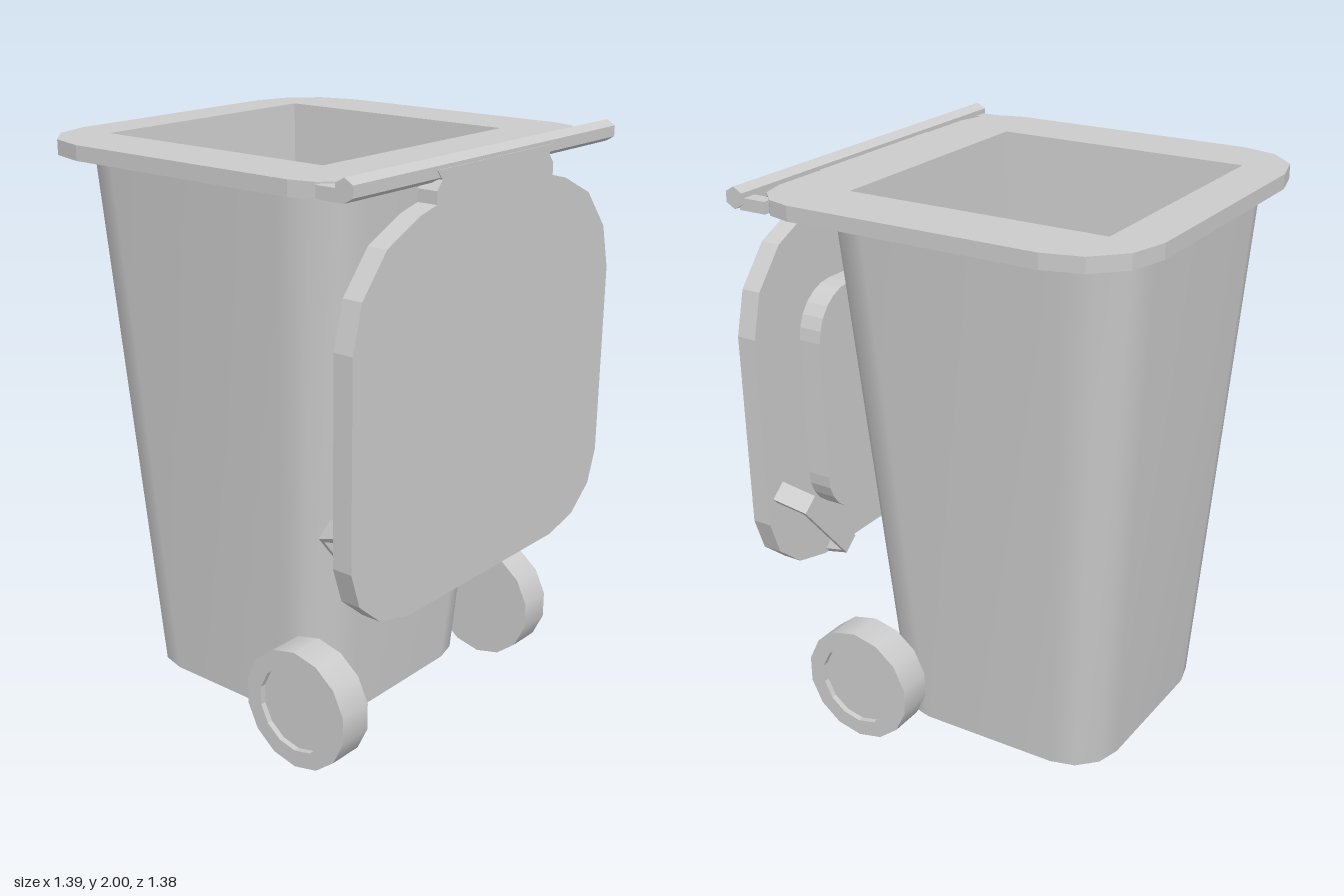
import * as THREE from 'three';

const grey = new THREE.MeshStandardMaterial({ color: 0xcccccc });
const flat = new THREE.MeshStandardMaterial({ color: 0xcccccc, flatShading: true });
const SEG = 3;

// Rounded rectangle in plan; rRight may differ for the corners on the hinge side
function ring(y, x0, x1, hz, r, rRight = r) {
  const pts = [];
  for (let q = 0; q < 4; q++) {
    const right = q === 0 || q === 3, rad = right ? rRight : r;
    const cx = right ? x1 - rad : x0 + rad;
    const cz = (q < 2 ? 1 : -1) * (hz - rad);
    for (let i = 0; i <= SEG; i++) {
      const a = (q + i / SEG) * Math.PI / 2;
      pts.push(new THREE.Vector3(cx + rad * Math.cos(a), y, cz + rad * Math.sin(a)));
    }
  }
  return pts;
}

// Skin a stack of rings
function loft(rings) {
  const n = rings[0].length, idx = [];
  for (let k = 0; k < rings.length - 1; k++) {
    for (let i = 0; i < n; i++) {
      const j = (i + 1) % n, a = k * n + i, b = k * n + j;
      idx.push(a, a + n, b, b, a + n, b + n);
    }
  }
  const g = new THREE.BufferGeometry().setFromPoints(rings.flat());
  g.setIndex(idx);
  g.computeVertexNormals();
  return g;
}

function shapeOf(points) {
  return new THREE.Shape(points.map(([x, y]) => new THREE.Vector2(x, y)));
}

// Extrude a (z, y) outline along x, from x0 to x1
function slab(shape, x0, x1) {
  const g = new THREE.ExtrudeGeometry(shape, { depth: x1 - x0, bevelEnabled: false, curveSegments: SEG });
  return g.rotateY(Math.PI / 2).translate(x0, 0, 0);
}

export function createModel() {
  const model = new THREE.Group();
  const add = (name, geo, mat = flat, parent = model) => {
    const m = new THREE.Mesh(geo, mat);
    m.name = name;
    parent.add(m);
    return m;
  };

  // Tapered bin body with soft corners
  const foot = ring(0.05, -0.5, 0.35, 0.425, 0.17);
  const shoulder = ring(1.89, -0.63, 0.48, 0.555, 0.2);
  add('body', loft([foot, shoulder]), grey);
  add('bodyBottom', loft([ring(0.05, -0.075, -0.075, 0, 0), foot]));

  // Overhanging rim, then the square opening down to the inner floor
  const mouth = ring(1.97, -0.535, 0.385, 0.46, 0);
  const floor = ring(0.12, -0.405, 0.26, 0.335, 0);
  add('rim', loft([
    shoulder,
    ring(1.92, -0.697, 0.62, 0.69, 0.26, 0.17),
    ring(1.97, -0.697, 0.62, 0.69, 0.26, 0.17),
    mouth,
  ]));
  add('inside', loft([mouth, floor, ring(0.12, -0.07, -0.07, 0, 0)]));

  // Lid hanging open, with a narrow tab at the hinge
  const half = [
    [0.41, 0.59], [0.55, 0.625], [0.65, 0.71], [0.69, 0.83], [0.69, 1.5], [0.65, 1.65],
    [0.54, 1.78], [0.39, 1.85], [0.31, 1.87], [0.31, 1.91], [0.285, 1.94], [0.31, 1.97],
  ];
  const mirrored = half.map(([z, y]) => [-z, y]).reverse();
  add('lid', slab(shapeOf([...half, ...mirrored]), 0.62, 0.69));

  // Raised panel on the inner face of the lid
  const w = 0.47, b = 0.77, t = 1.6, r = 0.17;
  const panel = new THREE.Shape();
  panel.absarc(w - r, b + r, r, -Math.PI / 2, 0);
  panel.absarc(w - r, t - r, r, 0, Math.PI / 2);
  panel.absarc(-w + r, t - r, r, Math.PI / 2, Math.PI);
  panel.absarc(-w + r, b + r, r, Math.PI, Math.PI * 1.5);
  add('lidPanel', slab(panel, 0.535, 0.62));

  // Hinge rod
  const rod = new THREE.CylinderGeometry(0.036, 0.036, 1.38, 6).rotateX(Math.PI / 2);
  rod.rotateZ(Math.PI / 2 * (Math.abs(rod.attributes.position.getY(0)) > 0.03 ? 0 : 1));
  add('hingeRod', rod.translate(0.656, 1.964, 0));

  // Strap handle profile: length along the strap, height off the lid
  const strap = shapeOf([
    [-0.215, 0], [-0.16, 0.11], [0.16, 0.11], [0.215, 0],
    [0.19, 0], [0.147, 0.095], [-0.147, 0.095], [-0.19, 0],
  ]);

  for (const s of [1, -1]) {
    const side = s > 0 ? 'Left' : 'Right';

    // Bracket joining rim and hinge rod
    const bracket = new THREE.BoxGeometry(0.1, 0.04, 0.05).translate(0.595, 1.945, s * 0.655);
    add('hingeBracket' + side, bracket);

    // Handle running diagonally across the lid's lower corner
    const handle = add('handle' + side, new THREE.ExtrudeGeometry(strap, { depth: 0.07, bevelEnabled: false })
      .translate(0, 0, -0.035));
    const along = new THREE.Vector3(0, 0.77, s * 0.64).normalize();
    const out = new THREE.Vector3(-1, 0, 0);
    const across = new THREE.Vector3().crossVectors(along, out);
    handle.quaternion.setFromRotationMatrix(new THREE.Matrix4().makeBasis(along, out, across));
    handle.position.set(0.622, 0.775, s * 0.5);

    // Wheel: tread, solid inner face, outer face with a recessed hub
    const wheel = new THREE.Group();
    wheel.name = 'wheel' + side;
    const lathe = (pts) => new THREE.LatheGeometry(pts.map(([x, y]) => new THREE.Vector2(x, y)), 14);
    add('tread', lathe([[0.21, 0], [0.21, 0.125]]), grey, wheel);
    add('wheelFaces', lathe([[0, 0], [0.21, 0]]), flat, wheel);
    add('hub', lathe([[0.21, 0.125], [0.15, 0.125], [0.15, 0.105], [0, 0.105]]), flat, wheel);
    wheel.rotation.x = s * Math.PI / 2;
    wheel.position.set(0.37, 0.21, s * 0.46);
    model.add(wheel);
  }
  return model;
}
